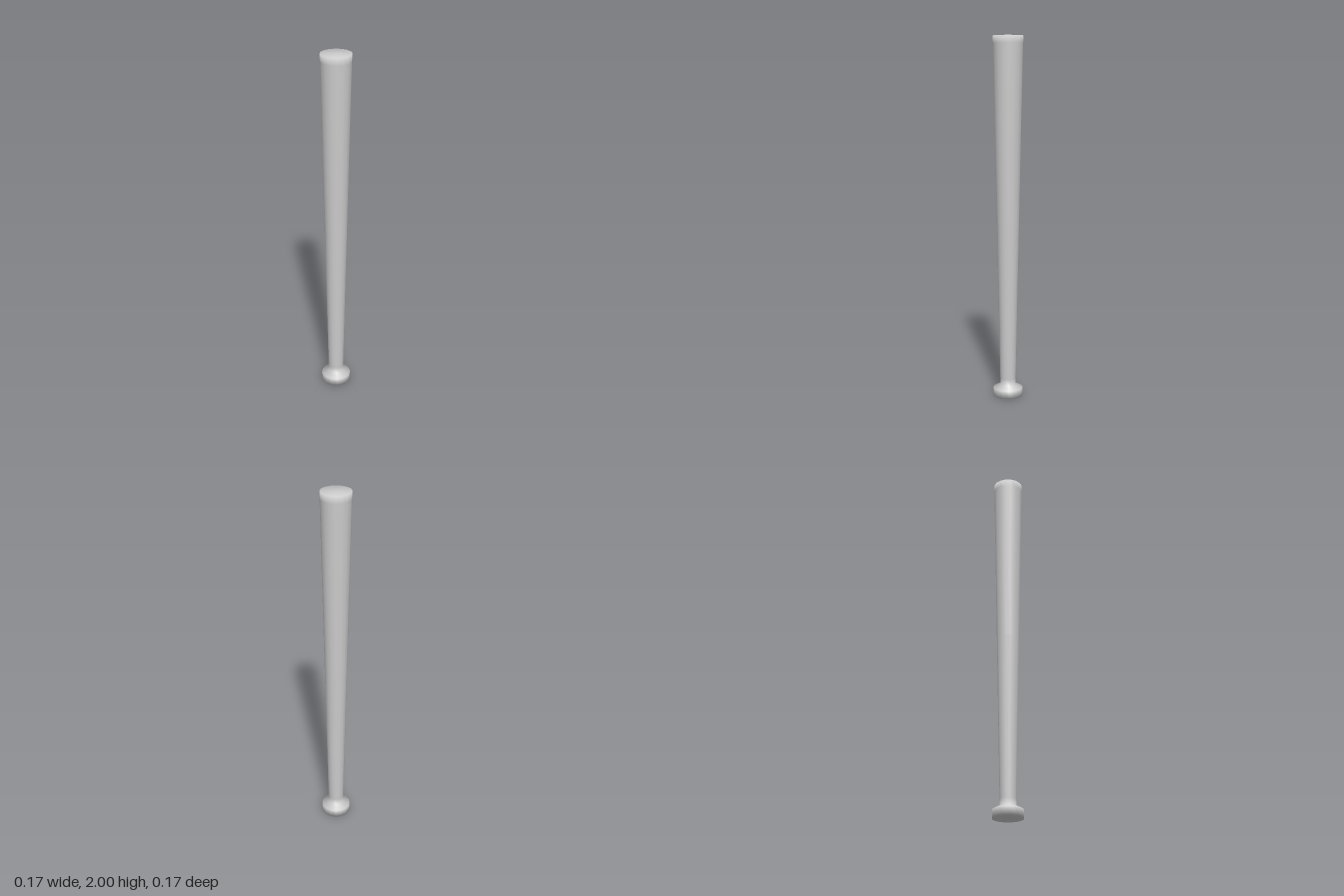
import * as THREE from 'three';

// A tapered bat: flat-ended knob, thin handle and wide barrel turned as one body
export function createModel() {
  const group = new THREE.Group();
  group.name = 'bat';

  const profile = [
    [0, 0],         // underside centre
    [0.083, 0],     // knob rim
    [0.083, 0.045],
    [0.043, 0.065], // neck above the knob
    [0.044, 0.1],   // handle
    [0.0625, 1],
    [0.082, 1.96],  // barrel
    [0.083, 2],     // barrel rim
    [0, 2],         // end centre
  ].map(([r, y]) => new THREE.Vector2(r, y));

  const body = new THREE.Mesh(
    new THREE.LatheGeometry(profile, 16),
    new THREE.MeshStandardMaterial({ color: 0xcccccc })
  );
  body.name = 'batBody';
  group.add(body);
  return group;
}
